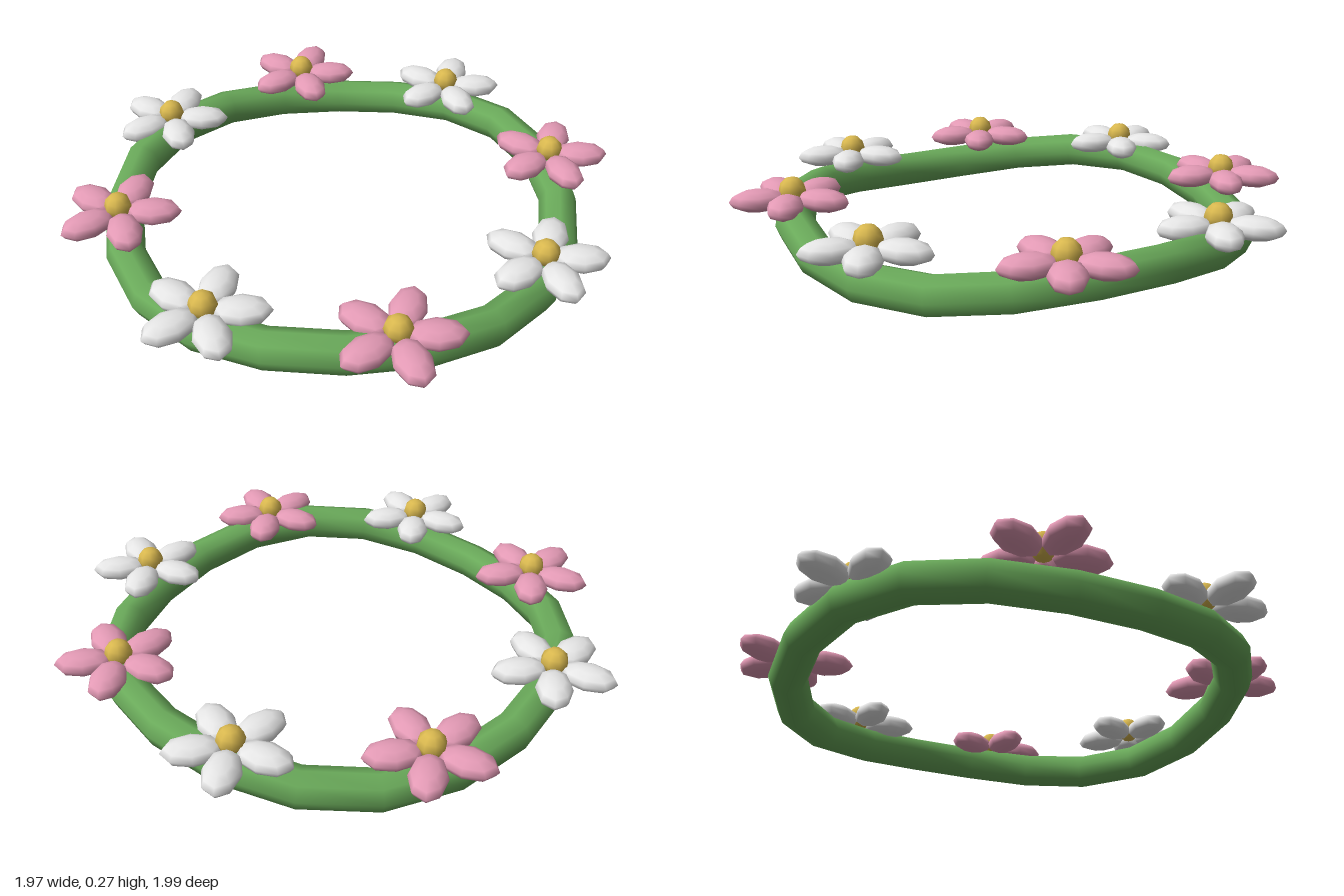
import * as THREE from 'three';

const material = (name, color) => {
  const m = new THREE.MeshStandardMaterial({ color });
  m.name = name;
  return m;
};

// Closed ring that rises and dips three times
class WavyRing extends THREE.Curve {
  getPoint(t, target = new THREE.Vector3()) {
    const a = t * Math.PI * 2;
    return target.set(0.8 * Math.cos(a), 0.108 - 0.034 * Math.sin(3 * a), 0.8 * Math.sin(a));
  }
}

export function createModel() {
  const green = material('stem green', 0x6aaa5a);
  const pink = material('petal pink', 0xe39ab5);
  const white = material('petal white', 0xe6e6e6);
  const yellow = material('centre yellow', 0xd9b84f);

  const wreath = new THREE.Group();
  wreath.name = 'flowerWreath';

  const add = (parent, name, geometry, mat) => {
    const mesh = new THREE.Mesh(geometry, mat);
    mesh.name = name;
    parent.add(mesh);
    return mesh;
  };

  // Braided stem ring
  add(wreath, 'stemRing', new THREE.TubeGeometry(new WavyRing(), 20, 0.069, 8, true), green);

  // Petal lies along +x with its inner end near the flower centre
  const petalGeometry = new THREE.SphereGeometry(1, 8, 6);
  petalGeometry.scale(0.1, 0.04, 0.063).translate(0.12, 0, 0);
  const centreGeometry = new THREE.SphereGeometry(0.048, 8, 6);

  // Eight flowers of alternating colour, all turned the same way
  for (let i = 0; i < 8; i++) {
    const angle = -0.2 - (i * Math.PI) / 4;
    const flower = new THREE.Group();
    flower.name = 'flower';
    flower.position.set(0.8 * Math.cos(angle), 0.2, 0.8 * Math.sin(angle));
    for (let p = 0; p < 5; p++) {
      add(flower, 'petal', petalGeometry, i % 2 ? white : pink).rotation.y = (p * Math.PI * 2) / 5;
    }
    add(flower, 'flowerCentre', centreGeometry, yellow).position.y = 0.028;
    wreath.add(flower);
  }

  wreath.position.x = -0.022;
  const model = new THREE.Group();
  model.name = 'model';
  model.add(wreath);
  return model;
}
